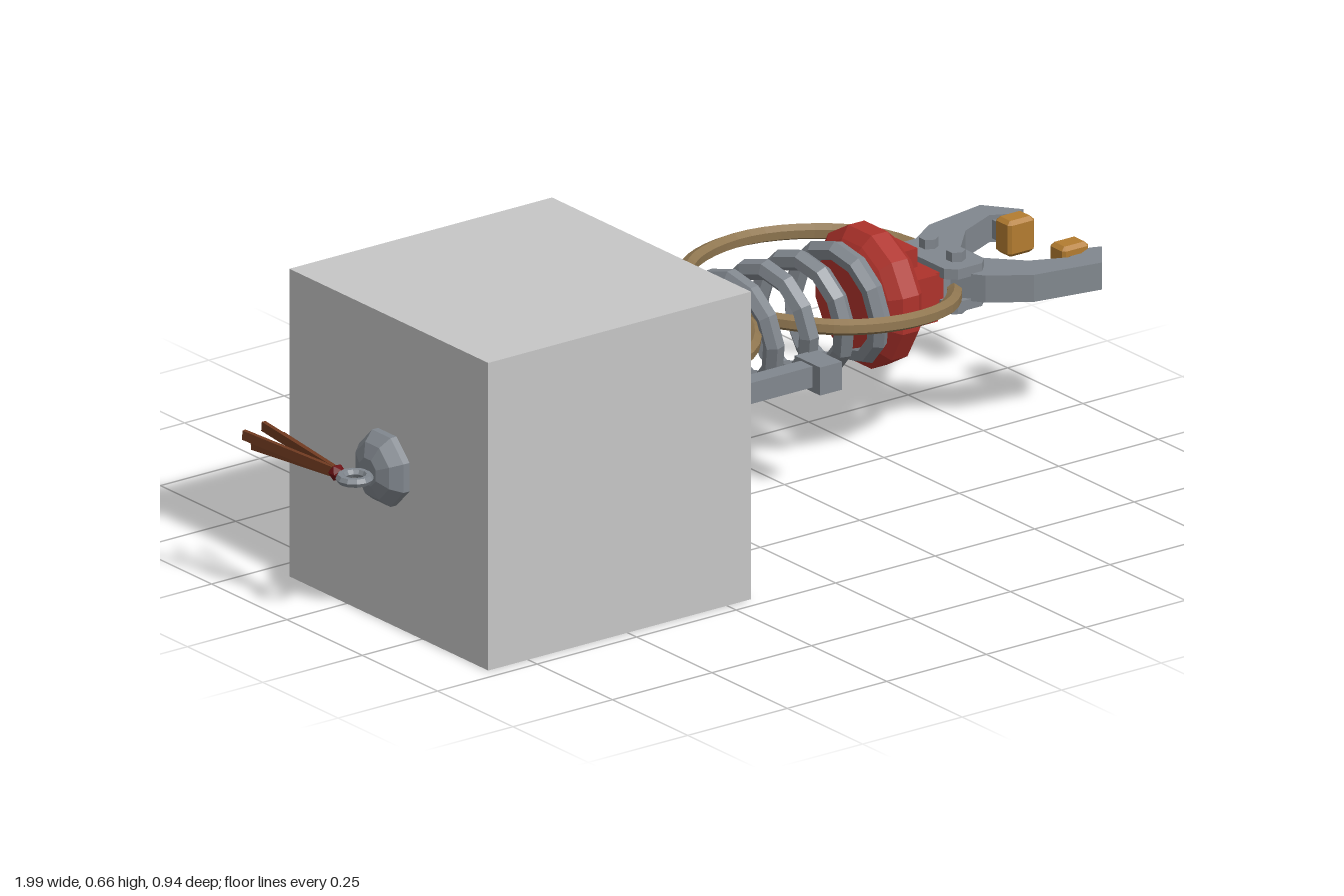
import * as THREE from 'three';

const mat = (name, color) => {
  const m = new THREE.MeshStandardMaterial({ color, flatShading: true });
  m.name = name;
  return m;
};
const CY = 0.33, CZ = -0.06; // axis of the arm, running along x

export function createModel() {
  const root = new THREE.Group();
  const block = mat('blockGrey', 0xc6c6c6);
  const red = mat('red', 0xae322b);
  const darkRed = mat('darkRed', 0x6a0f12);
  const steel = mat('steel', 0x81878e);
  const tan = mat('hoseTan', 0x8f7650);
  const amber = mat('amber', 0xb37c30);
  const brown = mat('brown', 0x6f3a20);

  const add = (name, geo, m, x = 0, y = 0, z = 0) => {
    const mesh = new THREE.Mesh(geo, m);
    mesh.name = name;
    mesh.position.set(x, y, z);
    root.add(mesh);
    return mesh;
  };
  // box given by its limits
  const box = (name, m, x0, x1, y0, y1, z0, z1) =>
    add(name, new THREE.BoxGeometry(x1 - x0, y1 - y0, z1 - z0), m, (x0 + x1) / 2, (y0 + y1) / 2, (z0 + z1) / 2);
  // profile of [radius, x] turned about the x direction
  const turned = (name, m, profile, sides, y = CY, z = CZ) => {
    const g = new THREE.LatheGeometry(profile.map(p => new THREE.Vector2(p[0], p[1])), sides);
    g.rotateY(Math.PI / sides).rotateZ(-Math.PI / 2);
    return add(name, g, m, 0, y, z);
  };
  // outline of [x, z] raised from y0 to y1, with a chamfer
  const slab = (name, m, pts, y0, y1, b = 0) => {
    const s = new THREE.Shape(pts.map(p => new THREE.Vector2(p[0], -p[1])));
    const g = new THREE.ExtrudeGeometry(s, {
      depth: y1 - y0 - 2 * b, bevelEnabled: b > 0, bevelSize: b, bevelThickness: b, bevelOffset: -b, bevelSegments: 1,
    });
    g.rotateX(-Math.PI / 2);
    return add(name, g, m, 0, y0 + b, 0);
  };
  const chamferRect = (x0, x1, z0, z1, c) => [
    [x0 + c, z0], [x1 - c, z0], [x1, z0 + c], [x1, z1 - c], [x1 - c, z1], [x0 + c, z1], [x0, z1 - c], [x0, z0 + c],
  ];
  const bolt = (name, x, y, z, r, h) => add(name, new THREE.CylinderGeometry(r, r, h, 6), steel, x, y, z);

  // large block
  box('block', block, -0.85, -0.19, 0, 0.66, -0.19, 0.47);

  // shoulder housing
  slab('shoulderHousing', darkRed, chamferRect(-0.29, -0.1, -0.23, 0.16, 0.03), 0.24, 0.42, 0.012);
  slab('shoulderCover', red, chamferRect(-0.295, -0.085, -0.215, 0.145, 0.03), 0.22, 0.445, 0.015);
  box('shoulderFacePlate', darkRed, -0.21, -0.08, 0.25, 0.41, -0.222, 0.155);
  for (const y of [0.285, 0.375]) box('pivotLug', red, -0.21, -0.16, y - 0.022, y + 0.022, 0.15, 0.205);
  slab('sideFin', darkRed, [[-0.25, 0.13], [-0.155, 0.15], [-0.175, 0.24], [-0.188, 0.33], [-0.25, 0.33]], 0.28, 0.38);
  const pivot = add('pivotCap', new THREE.CylinderGeometry(0.03, 0.062, 0.07, 8), steel, -0.185, CY, 0.175);
  pivot.rotation.x = Math.PI / 2;
  bolt('housingBolt', -0.165, 0.445, -0.15, 0.02, 0.03);
  bolt('housingBolt', -0.165, 0.225, -0.15, 0.02, 0.03);

  // flanges at both ends of the spring
  turned('shoulderFlange', red, [[0, -0.12], [0.135, -0.12], [0.145, -0.095], [0.172, -0.075], [0.172, -0.035],
    [0.148, -0.015], [0.115, -0.015], [0.105, 0.0], [0, 0.0]], 12);
  turned('wristFlange', red, [[0, 0.45], [0.1, 0.45], [0.125, 0.465], [0.148, 0.485], [0.148, 0.525],
    [0.13, 0.545], [0.115, 0.545], [0.108, 0.55], [0, 0.55]], 12);

  // coil spring
  class Helix extends THREE.Curve {
    getPoint(t, v = new THREE.Vector3()) {
      const a = t * 5.5 * Math.PI * 2;
      return v.set(-0.015 + 0.485 * t, CY + 0.113 * Math.cos(a), CZ + 0.113 * Math.sin(a));
    }
  }
  add('spring', new THREE.TubeGeometry(new Helix(), 66, 0.022, 6), steel);

  // side guide rail with its end stop
  box('guideRail', steel, -0.08, 0.26, 0.25, 0.295, 0.08, 0.12);
  box('railStop', steel, 0.23, 0.285, 0.24, 0.3, 0.06, 0.145);

  // wrist
  box('wristBlock', red, 0.54, 0.605, 0.28, 0.38, -0.16, 0.04);
  box('wristRidge', red, 0.54, 0.6, 0.24, 0.42, -0.1, -0.02);
  box('wristNeck', red, 0.6, 0.65, 0.295, 0.365, -0.12, 0);

  // palm plates and bolts
  for (const y of [0.285, 0.355]) {
    slab('palmPlate', steel, chamferRect(0.64, 0.74, -0.155, 0.035, 0.02), y, y + 0.022);
  }
  box('palmCore', steel, 0.645, 0.71, 0.3, 0.36, -0.12, 0);

  // jaws, mirrored about the arm axis
  for (const s of [-1, 1]) {
    const jaw = [[0.66, 0.05], [0.71, 0.12], [0.79, 0.175], [0.94, 0.202], [0.995, 0.13], [0.97, 0.12],
      [0.92, 0.145], [0.83, 0.105], [0.75, 0.02], [0.68, 0.01]];
    slab('jaw', steel, jaw.map(([x, d]) => [x, CZ + s * d]), 0.302, 0.36);
    const z0 = CZ + s * 0.09;
    slab('jawPad', amber, chamferRect(0.91, 0.976, z0 - 0.025, z0 + 0.025, 0.006), 0.293, 0.37, 0.008);
    box('padMount', steel, 0.925, 0.965, 0.31, 0.35, CZ + s * 0.13 - 0.02, CZ + s * 0.13 + 0.02);
    for (const y of [0.277, 0.385]) {
      bolt('jawBolt', 0.692, y, CZ + s * 0.045, 0.02, 0.024);
    }
  }

  // hoses
  const hose = (name, pts, r = 0.017) => {
    const c = new THREE.CatmullRomCurve3(pts.map(p => new THREE.Vector3(...p)));
    add(name, new THREE.TubeGeometry(c, 40, r, 6), tan);
  };
  hose('frontHose', [[0.7, 0.32, -0.06], [0.67, 0.32, 0.01], [0.6, 0.322, 0.075], [0.47, 0.33, 0.105], [0.34, 0.338, 0.07],
    [0.25, 0.345, -0.02], [0.2, 0.345, -0.12], [0.14, 0.335, -0.22], [0.05, 0.33, -0.275], [-0.04, 0.33, -0.28],
    [-0.11, 0.33, -0.24], [-0.14, 0.33, -0.18]]);
  hose('rearHose', [[0.74, 0.32, -0.14], [0.76, 0.32, -0.22], [0.72, 0.325, -0.34], [0.6, 0.33, -0.43], [0.47, 0.335, -0.452],
    [0.32, 0.34, -0.4], [0.22, 0.345, -0.28], [0.195, 0.35, -0.15], [0.18, 0.35, -0.02], [0.1, 0.345, 0.08],
    [0, 0.34, 0.108], [-0.12, 0.335, 0.12]]);
  hose('loopHose', [[-0.13, 0.355, -0.19], [-0.09, 0.36, -0.255], [-0.02, 0.362, -0.29], [0.07, 0.362, -0.275], [0.15, 0.355, -0.2],
    [0.17, 0.35, -0.08], [0.13, 0.345, 0.03], [0.04, 0.34, 0.085], [-0.1, 0.335, 0.11]], 0.015);

  // end boss with a ring and hanging strips
  turned('endBoss', steel, [[0.08, -0.82], [0.08, -0.865], [0.06, -0.888], [0.03, -0.9], [0, -0.9]].reverse()
    .map(([r, x]) => [r, x]), 8, CY + 0.005, 0.135);
  const ring = add('ring', new THREE.TorusGeometry(0.029, 0.01, 6, 12), steel, -0.932, CY, 0.135);
  ring.rotation.x = Math.PI / 2;
  add('knot', new THREE.IcosahedronGeometry(0.018, 0), darkRed, -0.942, CY, 0.09);
  const tips = [[-0.995, 0.35, -0.15], [-0.967, 0.32, -0.158], [-0.942, 0.355, -0.155], [-0.902, 0.325, -0.145]];
  for (const t of tips) {
    const from = new THREE.Vector3(-0.942, CY, 0.1), to = new THREE.Vector3(...t);
    const g = new THREE.BoxGeometry(0.009, 0.02, from.distanceTo(to));
    const strip = add('strip', g, brown);
    strip.position.copy(from).lerp(to, 0.5);
    strip.lookAt(to);
  }
  return root;
}
